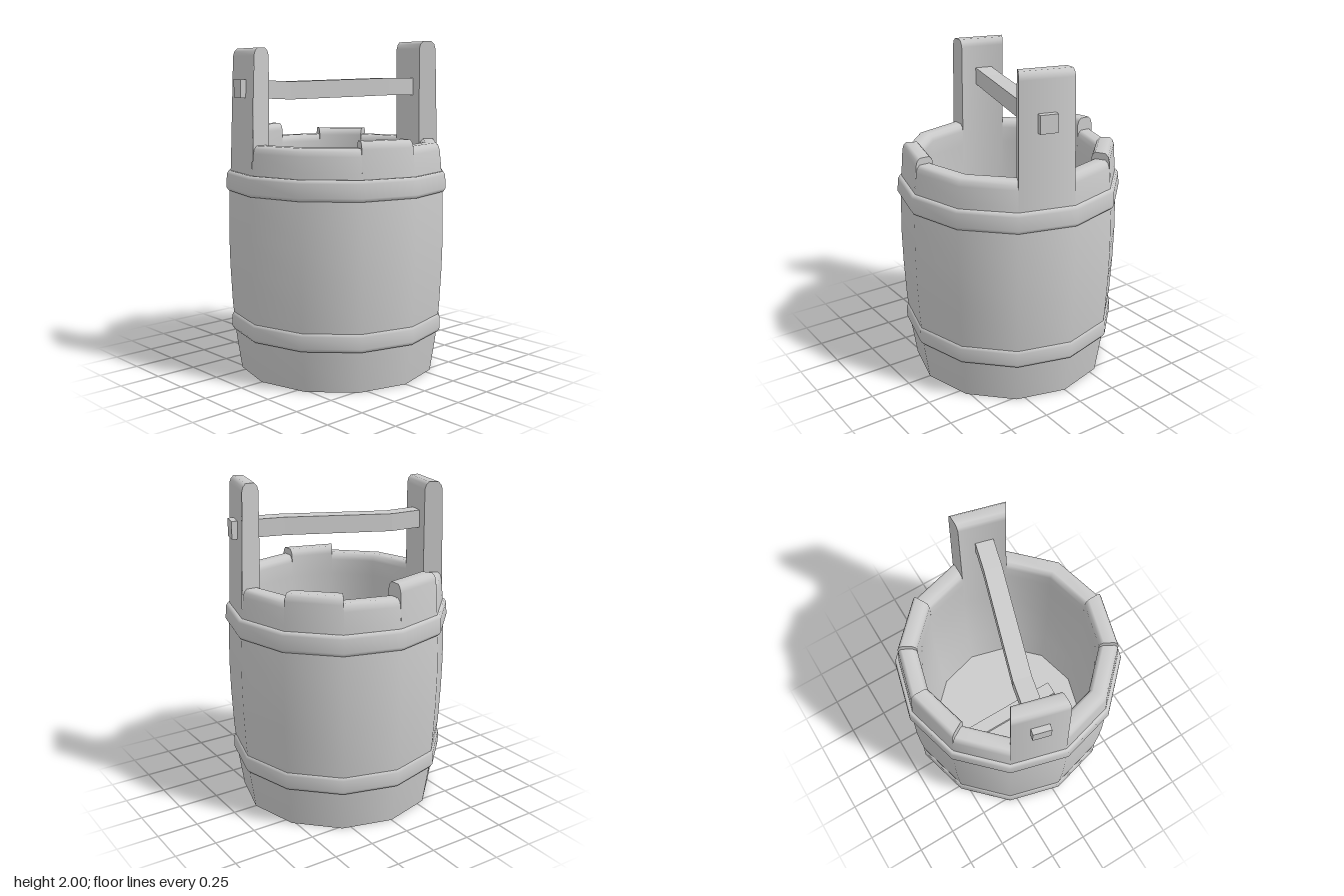
import * as THREE from 'three';

const SIDES = 12;
const STEP = (Math.PI * 2) / SIDES;
const V = (x, y) => new THREE.Vector2(x, y);

export function createModel() {
  const bucket = new THREE.Group();
  bucket.name = 'bucket';
  const solid = new THREE.MeshStandardMaterial({ color: 0xcccccc });
  const flat = new THREE.MeshStandardMaterial({ color: 0xcccccc, flatShading: true });
  const thin = new THREE.MeshStandardMaterial({ color: 0xcccccc, side: THREE.DoubleSide });

  const add = (name, geometry, material, parent = bucket) => {
    const mesh = new THREE.Mesh(geometry, material);
    mesh.name = name;
    parent.add(mesh);
    return mesh;
  };

  // Rounded upper end of a stave, running from outside over the top to the inside
  const topProfile = (h) => {
    const ro = 0.64 - (h - 1.4) * 0.025;
    const ri = 0.527 - (h - 1.4) * 0.01;
    return [V(ro, h - 0.045), V(ro - 0.008, h - 0.018), V(ro - 0.025, h),
      V(ri + 0.025, h), V(ri + 0.008, h - 0.018), V(ri, h - 0.045)];
  };
  const outer = [V(0.6, 0), V(0.63, 0.2), V(0.652, 0.42), V(0.663, 0.65), V(0.667, 0.85),
    V(0.662, 1.08), V(0.65, 1.26)];
  const inner = [V(0.53, 1.26), V(0.545, 1.0), V(0.545, 0.7), V(0.53, 0.4), V(0.505, 0.1)];

  // Staves: two tall ones carry the handle, three stand slightly proud of the rim
  const heights = { 2: 2.0, 8: 1.95, 4: 1.44, 6: 1.48, 11: 1.44 };
  const staves = new THREE.Group();
  staves.name = 'staves';
  bucket.add(staves);
  for (let k = 0; k < SIDES; k++) {
    const h = heights[k] ?? 1.4;
    const top = topProfile(h);
    add('stave', new THREE.LatheGeometry([...outer, ...top, ...inner], 1, k * STEP, STEP), solid, staves);
    if (h === 1.4) continue;
    // Exposed side faces of the raised staves
    const section = new THREE.Shape([V(0.645, 1.3), ...top, V(0.528, 1.3)]);
    for (const phi of [k * STEP, (k + 1) * STEP]) {
      add('staveSide', new THREE.ShapeGeometry(section).rotateY(phi - Math.PI / 2), thin, staves);
    }
  }

  // Hoops
  const hoop = (name, y0, y1, r0, r1) => add(name, new THREE.LatheGeometry([
    V(r0 - 0.04, y0), V(r0 - 0.012, y0), V(r0, y0 + 0.02),
    V(r1, y1 - 0.02), V(r1 - 0.012, y1), V(r1 - 0.05, y1),
  ], SIDES), solid);
  hoop('lowerHoop', 0.25, 0.36, 0.657, 0.656);
  hoop('upperHoop', 1.11, 1.23, 0.679, 0.675);

  // Underside and inner floor
  const disc = (r) => new THREE.CircleGeometry(r, SIDES);
  add('underside', disc(0.6).rotateX(Math.PI / 2), solid);
  add('innerFloor', disc(0.515).rotateX(-Math.PI / 2), solid).position.y = 0.11;

  // Batten across the floor
  add('floorBatten', new THREE.BoxGeometry(0.09, 0.04, 0.72), solid).position.y = 0.12;

  // Handle bar: a slightly bent beam whose ends pass through the tall staves
  const path = [[-0.623, 1.72, -0.168], [-0.48, 1.715, -0.137], [-0.31, 1.706, -0.1],
    [0.32, 1.723, 0.095], [0.47, 1.722, 0.135], [0.623, 1.72, 0.168]];
  const bar = new THREE.BoxGeometry(1, 0.105, 0.105, path.length - 1, 1, 1);
  const pos = bar.attributes.position;
  const lean = Math.PI / 12;
  for (let i = 0; i < pos.count; i++) {
    const [x, y, z] = path[Math.round((pos.getX(i) + 0.5) * (path.length - 1))];
    const w = pos.getZ(i);
    pos.setXYZ(i, x - w * Math.sin(lean), y + pos.getY(i), z + w * Math.cos(lean));
  }
  bar.computeVertexNormals();
  add('handleBar', bar, flat);

  return bucket;
}
